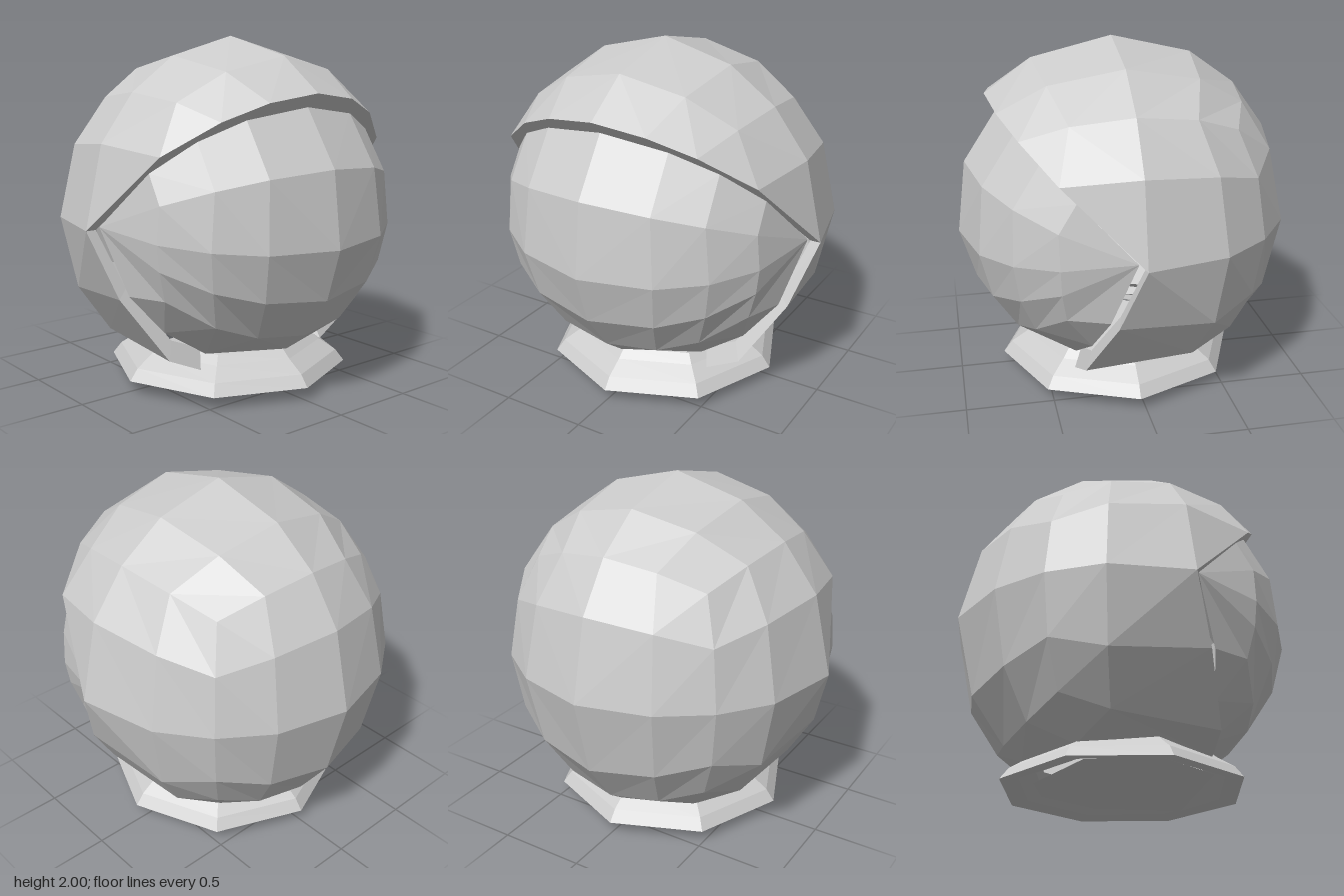
import * as THREE from 'three';

const CY = 0.98, CZ = 0.065, R = 1.02;   // hinge axis of the helmet and its radius
const material = new THREE.MeshStandardMaterial({ color: 0xcccccc, flatShading: true, side: THREE.DoubleSide });

function addMesh(group, name, geometry) {
  const mesh = new THREE.Mesh(geometry, material);
  mesh.name = name;
  group.add(mesh);
  return mesh;
}

// Geometry from triangles of the x < 0 half, mirrored to the other side
function mirrored(triangles) {
  const points = [];
  for (const [a, b, c] of triangles) {
    points.push(a, b, c);
    points.push(...[a, c, b].map(p => new THREE.Vector3(-p.x, p.y, p.z)));
  }
  const g = new THREE.BufferGeometry().setFromPoints(points);
  g.computeVertexNormals();
  return g;
}

// Two triangles between each pair of neighbouring points on two strips
function strip(a, b) {
  const out = [];
  for (let i = 0; i + 1 < a.length; i++) {
    out.push([a[i], b[i], b[i + 1]], [a[i], b[i + 1], a[i + 1]]);
  }
  return out;
}

// Cube point to helmet surface, slightly pinched across the middle
function spherify(x, y, z) {
  const p = new THREE.Vector3(x, y, z).normalize().multiplyScalar(R);
  p.x *= Math.min(0.966, 0.827 + 0.16 * Math.abs(p.x));
  return p.add(new THREE.Vector3(0, CY, CZ));
}

function shellPoint(x, y, z) {
  // cheek edge swept forward
  if (z === 0 && y < 0 && x !== 0) {
    const s = Math.sign(x);
    if (y === -0.5) return new THREE.Vector3(0.865 * s, 0.61, 0.19);
    if (Math.abs(x) === 1) return new THREE.Vector3(0.645 * s, 0.26, 0.335);
    return new THREE.Vector3(0.46 * s, 0.18, 0.37);
  }
  const p = spherify(x, y, z);
  // neck opening trimmed level
  if (y === -1 && Math.max(Math.abs(x), Math.abs(z)) === 0.5) {
    const q = spherify(2 * x, y, 2 * z);
    p.lerp(q, (0.18 - p.y) / (q.y - p.y));
  }
  return p;
}

function shellGeometry() {
  const box = new THREE.BoxGeometry(2, 2, 2, 4, 4, 4).toNonIndexed();
  const pos = box.attributes.position, triangles = [];
  for (let i = 0; i < pos.count; i += 3) {
    const t = [0, 1, 2].map(k => new THREE.Vector3().fromBufferAttribute(pos, i + k));
    const c = t[0].clone().add(t[1]).add(t[2]).divideScalar(3);
    const faceHole = c.y > 0 ? c.z > c.y : c.z > 0;
    const neckHole = c.y < -0.99 && Math.abs(c.x) < 0.5 && Math.abs(c.z) < 0.5;
    if (c.x > 0 || faceHole || neckHole) continue;
    triangles.push(t.map(p => shellPoint(p.x, p.y, p.z)));
  }
  return mirrored(triangles);
}

// Thickness of the shell around the face opening
function rimGeometry() {
  const outer = [[0, 1, 1], [-0.5, 1, 1], [-1, 1, 1], [-1, 0.5, 0.5], [-1, 0, 0],
    [-1, -0.5, 0], [-1, -1, 0], [-0.5, -1, 0]].map(p => shellPoint(...p));
  const inner = outer.map(p => new THREE.Vector3(
    p.x * 0.94, CY + (p.y - CY) * 0.86, CZ + (p.z - CZ) * 0.86));
  return mirrored(strip(outer, inner));
}

// Visor rows fan out around the hinge axis; columns spread from the middle to the hinge
function visorGeometry() {
  const angles = [46, 21, -7, -27, -46, -58];
  const spread = [0.5, 0.45, 0, 0.5, 1, 0];
  const lastRow = [-58, -64, -71, -71, -71];
  const rows = angles.map((angle, r) => {
    const k = Math.hypot(1, spread[r]);
    const columns = [0, Math.atan(0.5 / k), Math.atan(1 / k), Math.atan(2 / k), Math.PI / 2];
    return columns.map((t, c) => {
      const a = THREE.MathUtils.degToRad(r === 5 ? (c === 1 ? -71 : lastRow[c]) : angle);
      const d = 0.875 * Math.cos(t);
      return new THREE.Vector3(-0.925 * Math.sin(t), 1.0 + d * Math.sin(a), 0.1 + d * Math.cos(a));
    });
  });
  const triangles = [];
  for (let r = 0; r < 5; r++) triangles.push(...strip(rows[r + 1], rows[r]));
  return mirrored(triangles);
}

export function createModel() {
  const model = new THREE.Group();
  model.name = 'helmet';
  addMesh(model, 'shell', shellGeometry());
  addMesh(model, 'faceOpeningRim', rimGeometry());
  addMesh(model, 'visor', visorGeometry());

  // Eight-sided neck collar
  const profile = [[0.5, 0.13], [0.6, 0.09], [0.705, 0.075], [0.655, 0.14], [0.555, 0.205], [0.5, 0.25]];
  const collar = addMesh(model, 'neckCollar',
    new THREE.LatheGeometry(profile.map(p => new THREE.Vector2(...p)), 8));
  collar.position.z = 0.035;

  // Shallow underside with its lowest point towards the front
  const cone = new THREE.ConeGeometry(0.53, 0.1, 8, 1, true);
  cone.rotateX(Math.PI);
  const pos = cone.attributes.position;
  for (let i = 0; i < pos.count; i++) {
    if (pos.getY(i) < 0) pos.setXYZ(i, 0, 0, 0.39);
    else pos.setXYZ(i, pos.getX(i), 0.1 + 0.03 * Math.abs(pos.getX(i)) - (Math.abs(pos.getX(i)) < 0.01 ? 0.03 : 0), pos.getZ(i) + 0.05);
  }
  addMesh(model, 'neckUnderside', cone);
  return model;
}
